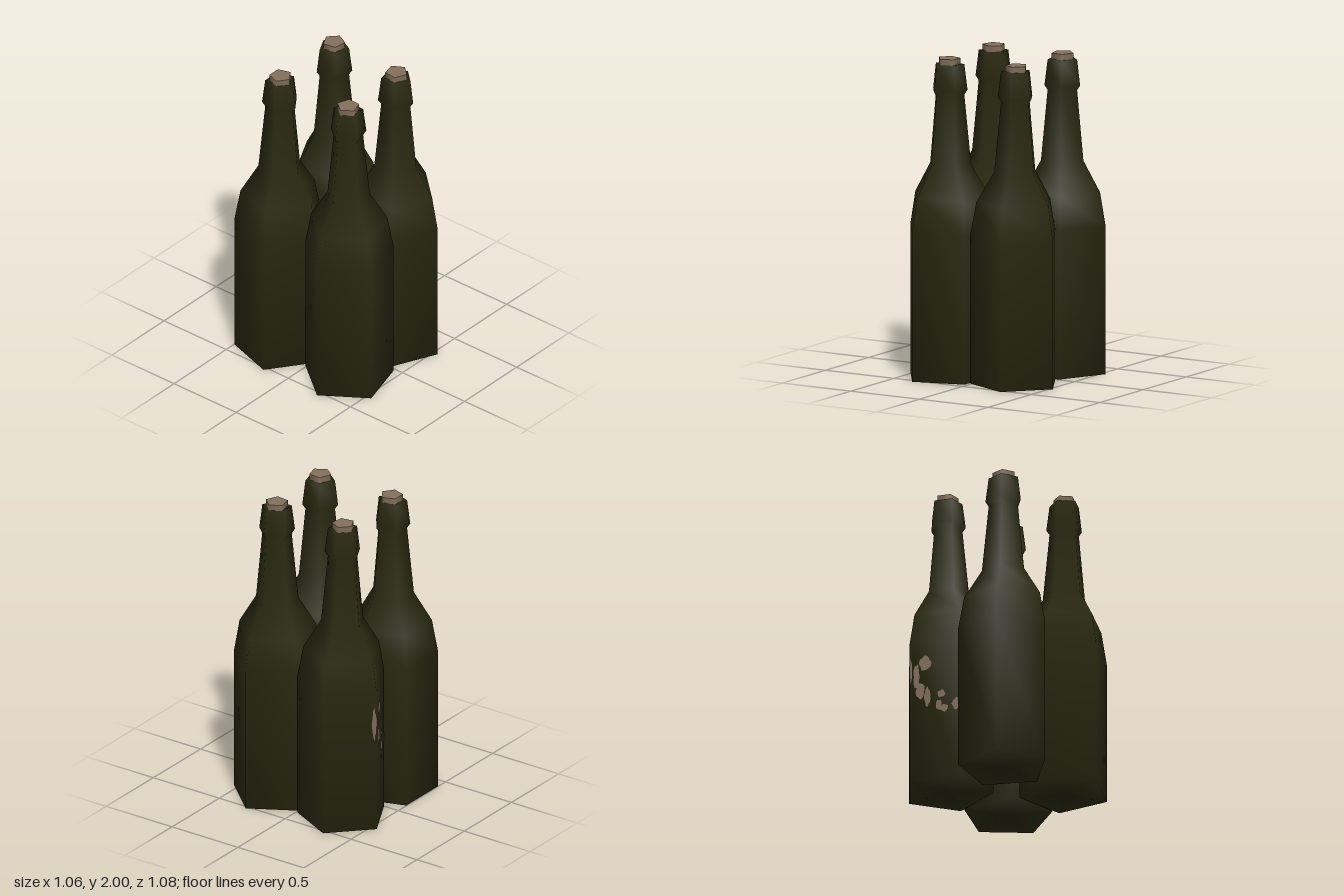
import * as THREE from 'three';

const SIDES = 5;
const RADIUS = 0.286;

const glass = new THREE.MeshStandardMaterial({ color: 0x2a2911 });
glass.name = 'darkGreenGlass';
const corkBrown = new THREE.MeshStandardMaterial({ color: 0x84705d });
corkBrown.name = 'corkBrown';
const paper = new THREE.MeshStandardMaterial({ color: 0x7d6a58 });
paper.name = 'wornPaper';

// Five-sided lathe with smooth normals; a corner points to +z
function lathe(profile) {
  return new THREE.LatheGeometry(profile.map(([r, y]) => new THREE.Vector2(r, y)), SIDES);
}

function addMesh(parent, name, geometry, material) {
  const mesh = new THREE.Mesh(geometry, material);
  mesh.name = name;
  parent.add(mesh);
  return mesh;
}

// Ragged scrap of paper with a wobbling outline
function scrap(cx, cy, w, h, seed) {
  const outline = [];
  const n = 12;
  for (let i = 0; i < n; i++) {
    const a = (i / n) * Math.PI * 2;
    const k = 0.5 + 0.07 * Math.sin(i * 2.3 + seed * 1.7);
    outline.push(new THREE.Vector2(cx + Math.cos(a) * w * k, cy + Math.sin(a) * h * k));
  }
  return new THREE.ShapeGeometry(new THREE.Shape(outline));
}

// Remains of a label: x runs along a bottle face from the corner, y is height
function wornLabel(name, turn, scraps) {
  const label = new THREE.Group();
  label.name = name;
  label.position.set(0, 0, RADIUS);
  label.rotation.y = turn;
  scraps.forEach(([x, y, w, h], i) => {
    addMesh(label, 'labelScrap', scrap(x, y, w, h, i), paper).position.z = 0.003;
  });
  return label;
}

export function createModel() {
  const model = new THREE.Group();
  model.name = 'bottles';

  // Closed base, straight body, sloping shoulder, neck and collar
  const bottleGeometry = lathe([
    [0, 0], [RADIUS, 0], [RADIUS, 0.93], [0.249, 1.14], [0.138, 1.33],
    [0.096, 1.77], [0.116, 1.8], [0.096, 1.96], [0.068, 1.963],
  ]);
  const corkSide = lathe([[0.071, 1.95], [0.071, 2]]);
  const corkTop = lathe([[0.071, 2], [0, 2]]);

  // x, z and heading of each bottle
  const places = [
    [-0.255, -0.266, 0],
    [0.25, -0.262, 2.998],
    [-0.247, 0.268, -1.606],
    [0.238, 0.253, 1.462],
  ];
  const bottles = places.map(([x, z, heading]) => {
    const bottle = new THREE.Group();
    bottle.name = 'bottle';
    bottle.position.set(x, 0, z);
    bottle.rotation.y = heading;
    addMesh(bottle, 'glassBody', bottleGeometry, glass);
    addMesh(bottle, 'corkSide', corkSide, corkBrown);
    addMesh(bottle, 'corkTop', corkTop, corkBrown);
    model.add(bottle);
    return bottle;
  });

  // Label scraps on one bottle, wrapping slightly round its corner
  bottles[1].add(
    wornLabel('wornLabel', Math.PI / SIDES, [
      [0.008, 0.74, 0.016, 0.18], [0.1, 0.785, 0.075, 0.1], [0.045, 0.7, 0.04, 0.17],
      [0.07, 0.6, 0.06, 0.11], [0.115, 0.555, 0.04, 0.13], [0.205, 0.565, 0.05, 0.05],
      [0.19, 0.49, 0.04, 0.07], [0.225, 0.465, 0.05, 0.05], [0.305, 0.485, 0.06, 0.08],
    ]),
    wornLabel('wornLabelEdge', -Math.PI / SIDES, [[-0.015, 0.72, 0.03, 0.21]]),
  );

  return model;
}
